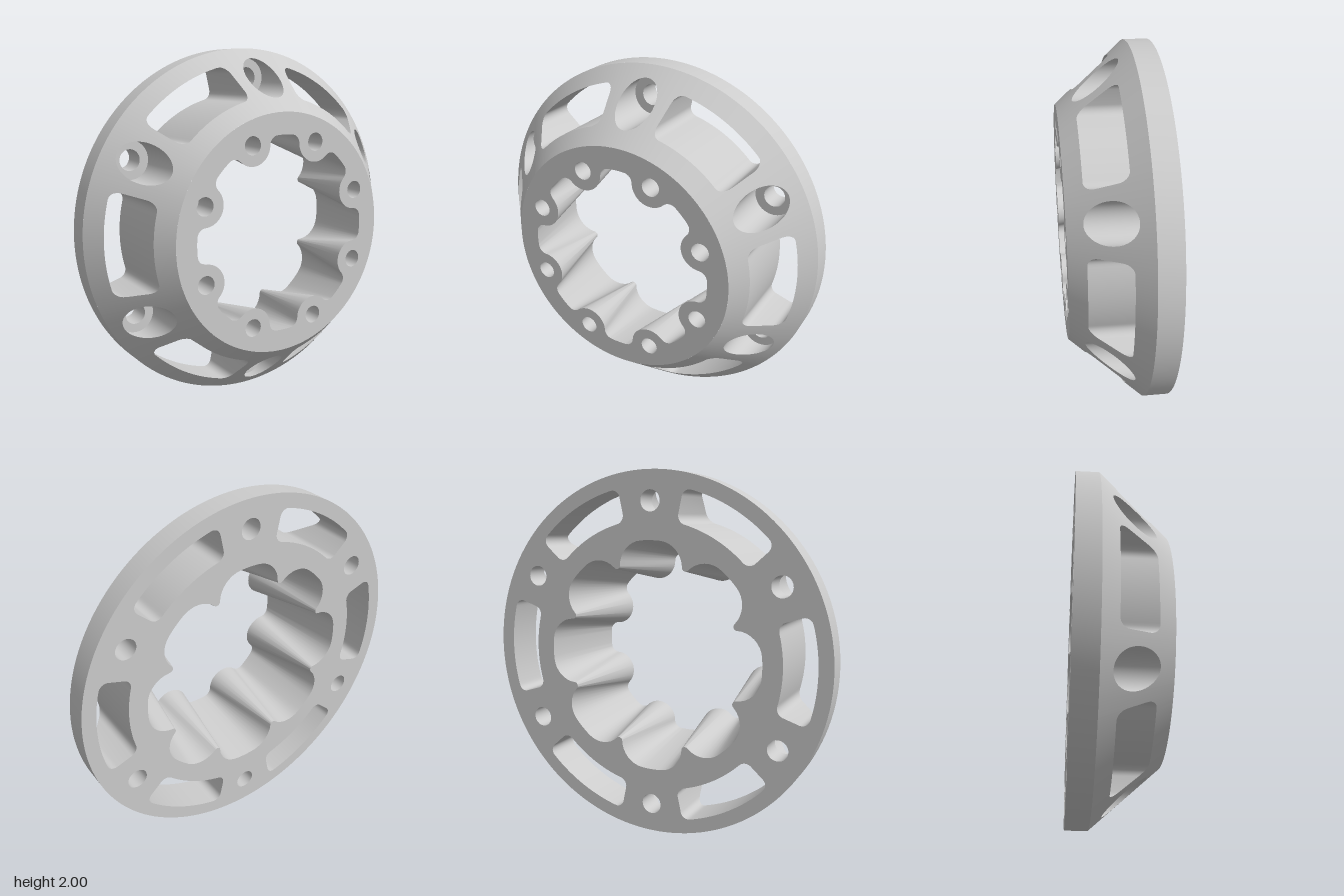
import * as THREE from 'three';
import { toCreasedNormals } from 'three/addons/utils/BufferGeometryUtils.js';

const DEG = Math.PI / 180;
const FRONT = 0.255, RIM = -0.128, BACK = -0.255;   // depths
const R_FACE = 0.665, R_OUT = 1;                    // front face and rim radii
const BOLT_R = 0.84, BORE_R = 0.105, BOLT_HOLE = 0.057, BORE_FLOOR = -0.12;
const SLOT_IN = 0.743, SLOT_OUT = 0.922, SLOT_HALF = 18 * DEG, SLOT_FILLET = 0.045;
const SCREW_R = 0.537, SCREW_HOLE = 0.05, SCREW_FLOOR = 0.1;

const polar = (r, a) => new THREE.Vector2(r * Math.cos(a), r * Math.sin(a));
const coneZ = (p) => FRONT + (p.length() - R_FACE) * (RIM - FRONT) / (R_OUT - R_FACE);
const circle = (c, r, n = 32) =>
  Array.from({ length: n }, (_, i) => polar(r, i / n * 2 * Math.PI).add(c));
const lift = (loop, z) =>
  loop.map((p) => new THREE.Vector3(p.x, p.y, typeof z === 'function' ? z(p) : z));

// Geometry from quads (corners counter-clockwise), smooth across soft edges
function quads(list) {
  const pos = [];
  for (const [a, b, c, d] of list) for (const p of [a, b, c, a, c, d]) pos.push(p.x, p.y, p.z);
  const g = new THREE.BufferGeometry();
  g.setAttribute('position', new THREE.Float32BufferAttribute(pos, 3));
  return toCreasedNormals(g, 35 * DEG);
}

// Wall joining a front loop to a back loop; inward for holes
function wall(front, back, inward = true) {
  return quads(front.map((a, i) => {
    const j = (i + 1) % front.length;
    return inward ? [a, front[j], back[j], back[i]] : [back[i], back[j], front[j], a];
  }));
}

// Flat face with holes at depth z
function face(outline, holes, z, facesBack = false) {
  const shape = new THREE.Shape(outline);
  shape.holes = holes.map((h) => new THREE.Path(h));
  const g = new THREE.ShapeGeometry(shape);
  if (facesBack) g.rotateY(Math.PI);
  return g.translate(0, 0, z);
}

// Inner and outer radius of each opening at angle t from its middle
function boltSpan(t) {
  const s = Math.sqrt(Math.max(0, BORE_R ** 2 - (BOLT_R * Math.sin(t)) ** 2));
  return [BOLT_R * Math.cos(t) - s, BOLT_R * Math.cos(t) + s];
}
function slotSpan(t) {
  const inset = (r) => {
    const e = Math.max(0, SLOT_FILLET - (SLOT_HALF - Math.abs(t)) * r);
    return SLOT_FILLET - Math.sqrt(Math.max(0, SLOT_FILLET ** 2 - e * e));
  };
  return [SLOT_IN + inset(SLOT_IN), SLOT_OUT - inset(SLOT_OUT)];
}

// Opening sampled in radial columns, bunched toward its ends
function opening(mid, half, span, n) {
  return Array.from({ length: n + 1 }, (_, i) => {
    const t = -half * Math.cos(i / n * Math.PI);
    const [lo, hi] = span(t);
    return { a: mid + t, lo, hi };
  });
}
const loopOf = (cols) => [
  ...cols.map((c) => polar(c.hi, c.a)),
  ...cols.map((c) => polar(c.lo, c.a)).reverse(),
];

// Lobed bore outline, pushed into the material by d
function lobedBore(d) {
  const R = 0.545, lobe = 0.11, fillet = 0.05, step = 22.5 * DEG;
  const L = polar(SCREW_R, step);
  const u = R - fillet, v = lobe + fillet;
  const a = step - Math.acos((SCREW_R ** 2 + u * u - v * v) / (2 * SCREW_R * u));
  const C = polar(u, a);
  const toL = Math.atan2(L.y - C.y, L.x - C.x);
  const half = [];
  for (let i = 0; i < 4; i++) half.push(polar(R + d, a * i / 4));
  for (let i = 0; i < 8; i++) half.push(polar(fillet + d, a + (toL - a) * i / 8).add(C));
  const from = toL - Math.PI, to = step - Math.PI;
  for (let i = 0; i <= 10; i++) half.push(polar(lobe - d, from + (to - from) * i / 10).add(L));
  // mirror about the lobe axis, then repeat eight times
  const mirrored = half.slice(1, -1).reverse().map((p) => polar(p.length(), 2 * step - p.angle()));
  const period = [...half, ...mirrored];
  return Array.from({ length: 8 }, (_, k) =>
    period.map((p) => p.clone().rotateAround(new THREE.Vector2(), k * 2 * step))).flat();
}

export function createModel() {
  const group = new THREE.Group();
  const material = new THREE.MeshStandardMaterial({ color: 0xcccccc });
  const add = (name, geometry) => {
    const mesh = new THREE.Mesh(geometry, material);
    mesh.name = name;
    group.add(mesh);
  };

  // Six bolt pockets alternating with six slots
  const columns = [], slots = [], bolts = [];
  const boltHalf = Math.asin(BORE_R / BOLT_R);
  for (let k = 0; k < 6; k++) {
    const a = (30 + 60 * k) * DEG;
    const bolt = opening(a, boltHalf, boltSpan, 20);
    const slot = opening(a + 30 * DEG, SLOT_HALF, slotSpan, 32);
    bolts.push({ centre: polar(BOLT_R, a), cols: bolt });
    slots.push(loopOf(slot));
    columns.push(bolt, slot);
  }

  // Conical front, built around the openings
  const onCone = (r, a) => {
    const p = polar(r, a);
    return new THREE.Vector3(p.x, p.y, coneZ(p));
  };
  const cone = [];
  const strip = (r0, r1, s0, s1, a, b) =>
    cone.push([onCone(r0, a), onCone(r1, a), onCone(s1, b), onCone(s0, b)]);
  columns.forEach((cols, k) => {
    for (let i = 0; i + 1 < cols.length; i++) {
      const p = cols[i], q = cols[i + 1];
      strip(R_FACE, p.lo, R_FACE, q.lo, p.a, q.a);
      strip(p.hi, R_OUT, q.hi, R_OUT, p.a, q.a);
    }
    const end = cols[cols.length - 1].a;
    const next = columns[(k + 1) % 12][0].a + (k === 11 ? 2 * Math.PI : 0);
    strip(R_FACE, R_OUT, R_FACE, R_OUT, end, (end + next) / 2);
    strip(R_FACE, R_OUT, R_FACE, R_OUT, (end + next) / 2, next);
  });
  add('conicalFront', quads(cone));

  // Outer rim
  const ring = (r) => circle(new THREE.Vector2(), r, 144);
  add('outerRim', wall(lift(ring(R_OUT), RIM), lift(ring(R_OUT), BACK), false));

  // Lobed bore, widening toward the back
  const boreFront = lobedBore(0), boreBack = lobedBore(0.09);
  add('lobedBore', wall(lift(boreFront, FRONT), lift(boreBack, BACK)));

  // Front face with eight blind screw holes
  const screws = Array.from({ length: 8 }, (_, k) => polar(SCREW_R, (22.5 + 45 * k) * DEG));
  const screwLoops = screws.map((c) => circle(c, SCREW_HOLE, 24));
  add('frontFace', face(ring(R_FACE), [boreFront, ...screwLoops], FRONT));
  screwLoops.forEach((loop) => {
    add('screwHoleWall', wall(lift(loop, FRONT), lift(loop, SCREW_FLOOR)));
    add('screwHoleFloor', face(loop, [], SCREW_FLOOR));
  });

  // Slots cut straight through
  slots.forEach((loop) => add('slotWall', wall(lift(loop, coneZ), lift(loop, BACK))));

  // Counterbored bolt holes
  const boltLoops = bolts.map(({ centre, cols }) => {
    const pocket = loopOf(cols).reverse(), hole = circle(centre, BOLT_HOLE);
    // drop the doubled end points and keep the loop counter-clockwise
    const rim = pocket.filter((p, i) => p.distanceTo(pocket[(i + 1) % pocket.length]) > 1e-5);
    if (THREE.ShapeUtils.isClockWise(rim)) rim.reverse();
    add('counterboreWall', wall(lift(rim, coneZ), lift(rim, BORE_FLOOR)));
    add('counterboreFloor', face(rim, [hole], BORE_FLOOR));
    add('boltHoleWall', wall(lift(hole, BORE_FLOOR), lift(hole, BACK)));
    return hole;
  });

  // Back face
  add('backFace', face(ring(R_OUT), [boreBack, ...slots, ...boltLoops], BACK, true));

  group.position.y = 1;
  return group;
}
